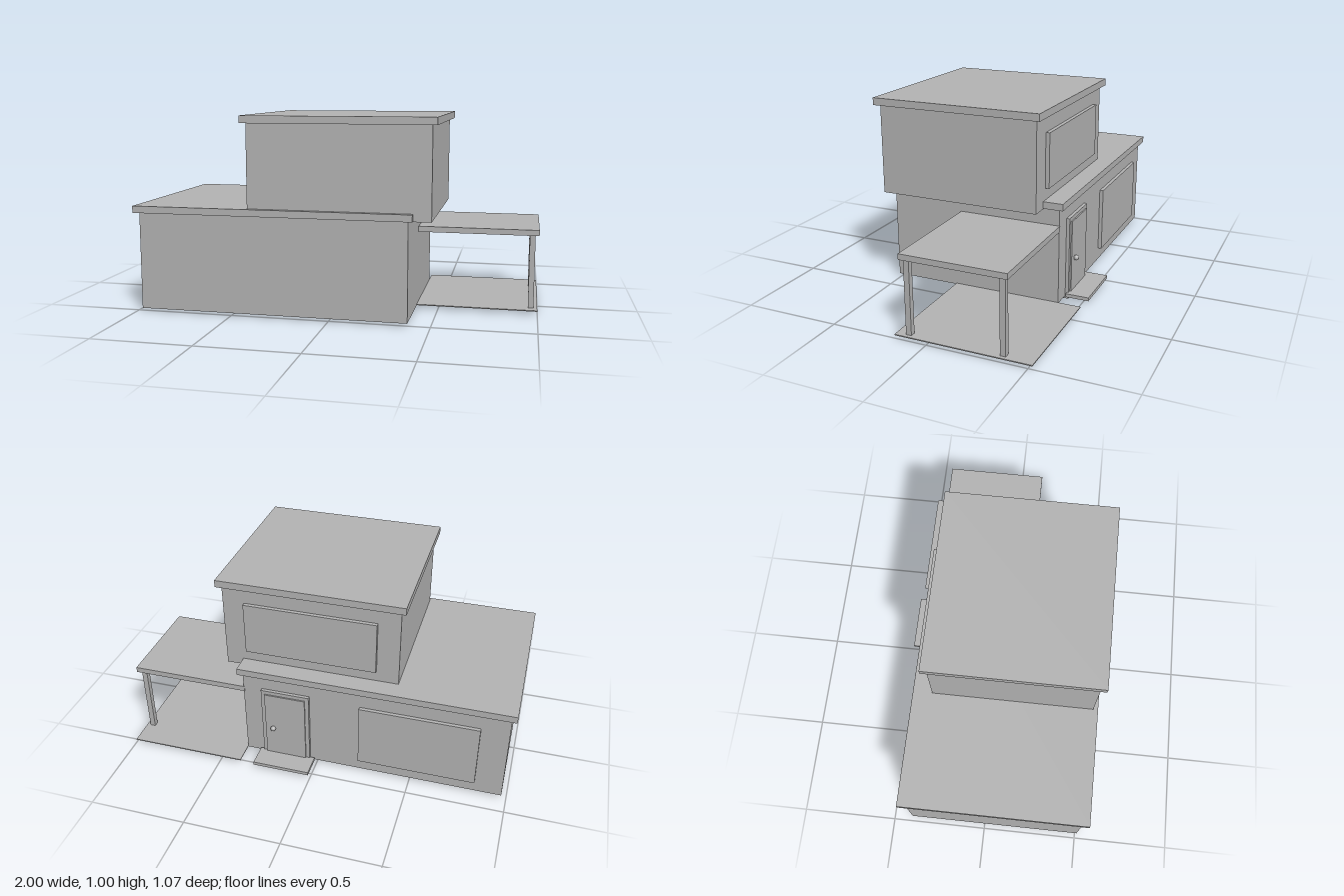
import * as THREE from 'three';

export function createModel() {
  const house = new THREE.Group();
  house.name = 'house';
  const plaster = new THREE.MeshStandardMaterial({ color: 0xb2b2b2 });
  plaster.name = 'plain grey';

  // Box given by its limits on each axis
  function block(name, [x0, x1], [y0, y1], [z0, z1]) {
    const mesh = new THREE.Mesh(new THREE.BoxGeometry(x1 - x0, y1 - y0, z1 - z0), plaster);
    mesh.position.set((x0 + x1) / 2, (y0 + y1) / 2, (z0 + z1) / 2);
    mesh.name = name;
    house.add(mesh);
  }

  // Two storeys with overhanging flat roofs
  block('lowerStorey', [-0.975, 0.39], [0.015, 0.51], [-0.402, 0.51]);
  block('lowerRoof', [-1, 0.412], [0.51, 0.545], [-0.427, 0.535]);
  block('upperStorey', [-0.405, 0.5], [0.508, 0.963], [-0.326, 0.51]);
  block('upperRoof', [-0.43, 0.525], [0.963, 1], [-0.35, 0.535]);

  // Carport: ground slab, roof and outer posts
  block('carportFloor', [0.39, 1], [0.015, 0.02], [-0.52, 0.165]);
  block('carportRoof', [0.385, 1], [0.395, 0.424], [-0.405, 0.128]);
  for (const z of [0.1, -0.373]) {
    block('carportPost', [0.953, 0.981], [0.018, 0.397], [z - 0.014, z + 0.014]);
  }

  // Entrance on the back wall
  block('doorFrame', [0.035, 0.29], [0, 0.43], [-0.419, -0.392]);
  block('door', [0.055, 0.27], [0.02, 0.41], [-0.426, -0.415]);
  block('doorStep', [0.01, 0.31], [0.017, 0.035], [-0.533, -0.412]);
  const knob = new THREE.Mesh(new THREE.SphereGeometry(0.014, 20, 14), plaster);
  knob.position.set(0.227, 0.204, -0.435);
  knob.name = 'doorKnob';
  house.add(knob);

  // Wide windows on the back wall
  block('lowerWindow', [-0.835, -0.228], [0.08, 0.42], [-0.421, -0.4]);
  block('upperWindow', [-0.292, 0.387], [0.605, 0.88], [-0.346, -0.324]);

  return house;
}
